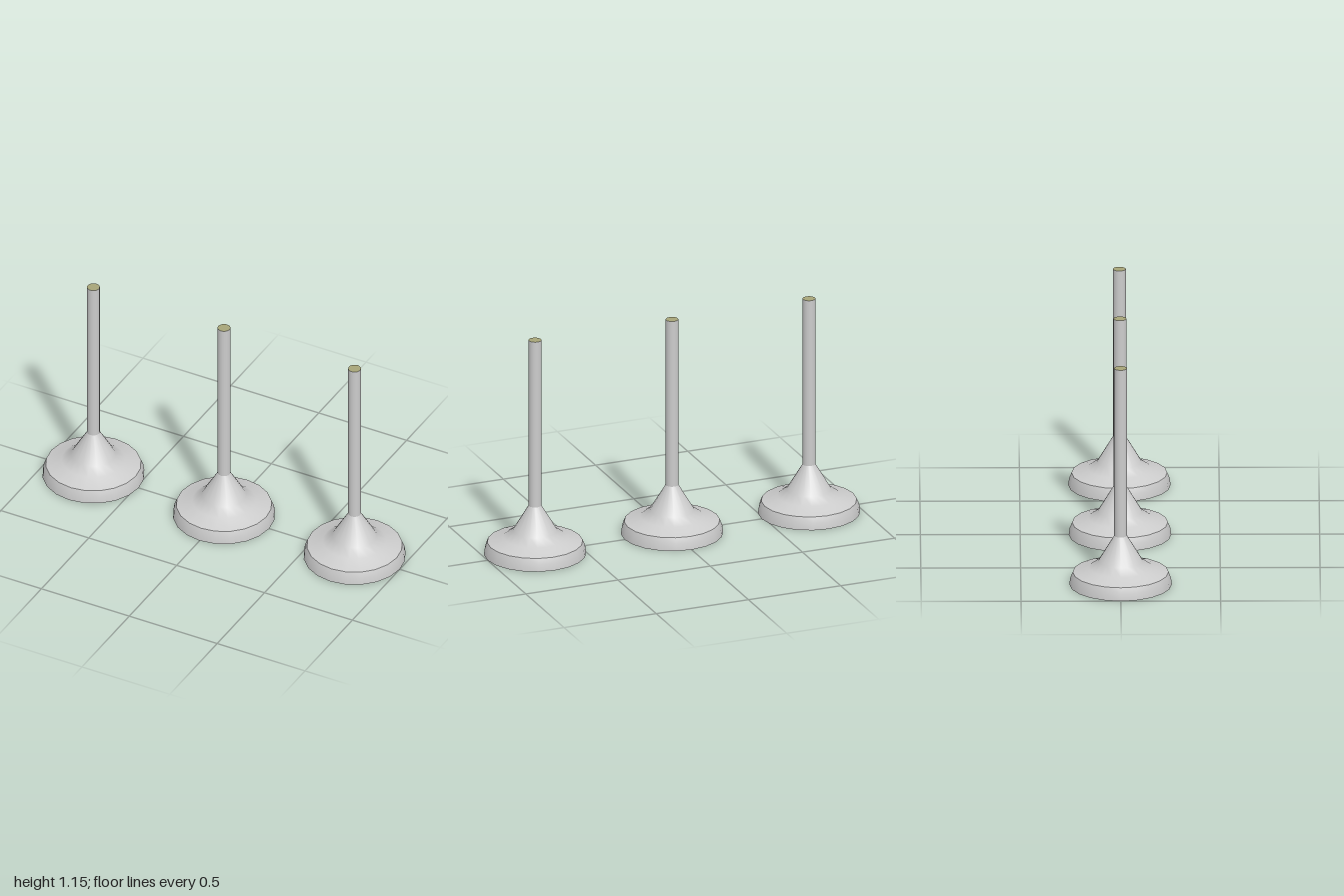
import * as THREE from 'three';

const SIDES = 20;
const SPACING = 0.743;
const STEM_RADIUS = 0.032;
const STEM_BOTTOM = 0.258;
const STEM_TOP = 1.147;

const grey = new THREE.MeshStandardMaterial({ color: 0xcccccc, side: THREE.DoubleSide });
const olive = new THREE.MeshStandardMaterial({ color: 0xa6a478 });

function lathe(name, profile) {
  const points = profile.map(([r, y]) => new THREE.Vector2(r, y));
  const mesh = new THREE.Mesh(new THREE.LatheGeometry(points, SIDES), grey);
  mesh.name = name;
  return mesh;
}

// Flat round cap facing up (+1) or down (-1)
function disc(name, radius, y, facing) {
  const geometry = new THREE.CircleGeometry(radius, SIDES);
  geometry.rotateZ(Math.PI / 2);
  geometry.rotateX(-facing * Math.PI / 2);
  const mesh = new THREE.Mesh(geometry, olive);
  mesh.name = name;
  mesh.position.y = y;
  return mesh;
}

function createValve() {
  const valve = new THREE.Group();
  valve.add(
    // Shallow recess under the head
    lathe('recessWall', [[0.24, 0.025], [0.257, 0]]),
    disc('headFace', 0.24, 0.025, -1),
    // Slightly rounded edge of the head
    lathe('headRim', [[0.257, 0], [0.252, 0.035], [0.24, 0.065]]),
    // Concave flare up to the stem
    lathe('headFlare', [[0.24, 0.065], [0.16, 0.09], [0.112, 0.124], [STEM_RADIUS, STEM_BOTTOM]]),
    lathe('stem', [[STEM_RADIUS, STEM_BOTTOM], [STEM_RADIUS, STEM_TOP]]),
    disc('stemTip', STEM_RADIUS, STEM_TOP, 1)
  );
  return valve;
}

export function createModel() {
  const model = new THREE.Group();
  model.name = 'valves';
  ['rightValve', 'middleValve', 'leftValve'].forEach((name, i) => {
    const valve = createValve();
    valve.name = name;
    valve.position.x = (i - 1) * SPACING;
    model.add(valve);
  });
  return model;
}
